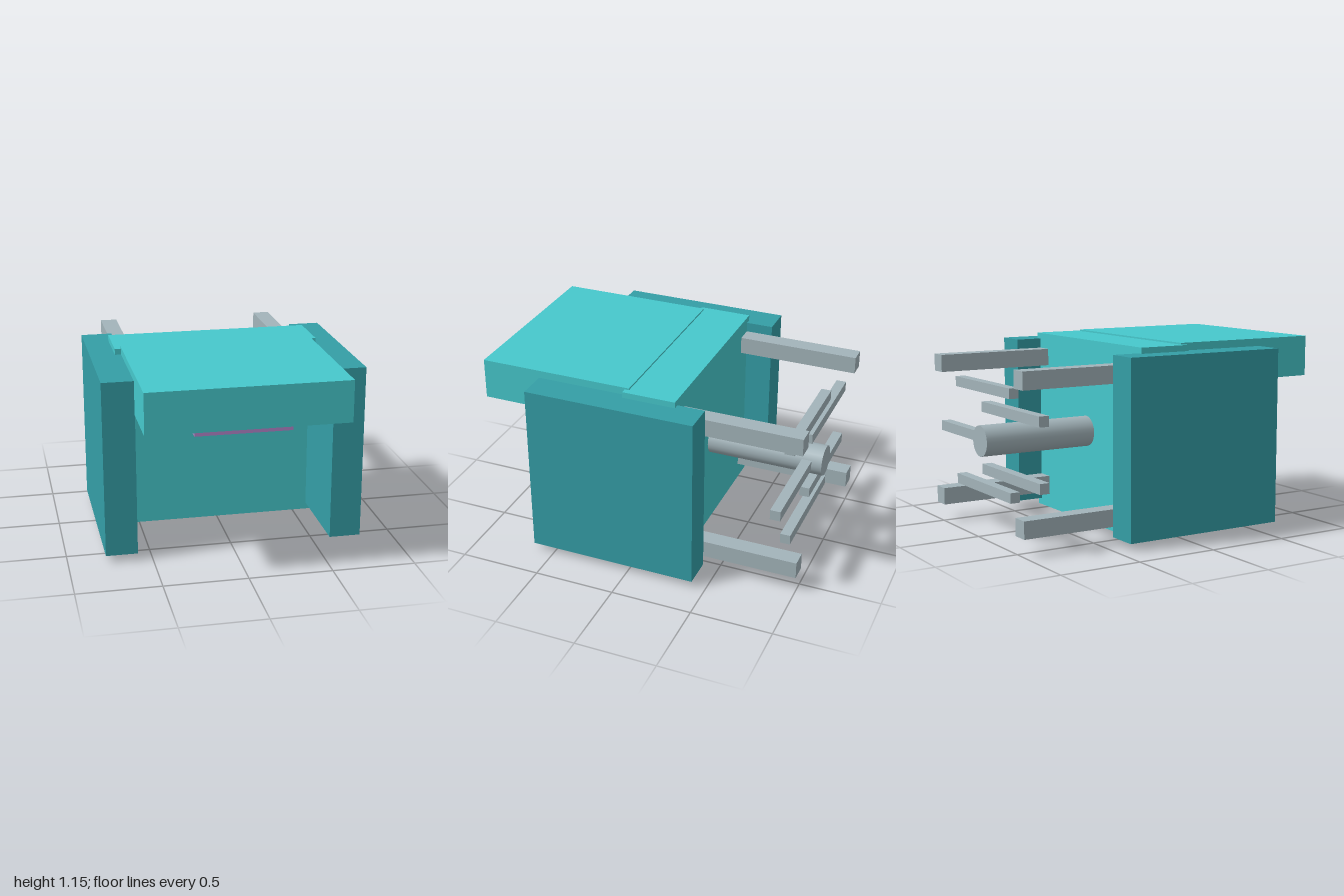
import * as THREE from 'three';

const mat = (name, color) => {
  const m = new THREE.MeshStandardMaterial({ color });
  m.name = name;
  return m;
};

export function createModel() {
  const model = new THREE.Group();
  model.name = 'model';
  const turquoise = mat('turquoise', 0x46c8cc);
  const teal = mat('darkTeal', 0x349ea6);
  const purple = mat('purple', 0xb586ca);
  const grey = mat('grey', 0xa3b4ba);

  // Box given by its lower and upper corners
  const box = (name, material, [x0, y0, z0], [x1, y1, z1]) => {
    const mesh = new THREE.Mesh(new THREE.BoxGeometry(x1 - x0, y1 - y0, z1 - z0), material);
    mesh.position.set((x0 + x1) / 2, (y0 + y1) / 2, (z0 + z1) / 2);
    mesh.name = name;
    model.add(mesh);
  };

  // Central body, overhanging hood and the strip beneath it
  box('body', turquoise, [-0.627, 0, -0.25], [0.627, 1.143, 0.077]);
  box('hood', turquoise, [-0.59, 0.905, 0.05], [0.59, 1.153, 1]);
  box('hoodStrip', purple, [-0.286, 0.83, 0.2], [0.286, 0.905, 0.85]);

  // Side walls, and the upper and lower rear posts on each side
  for (const [side, s] of [['left', 1], ['right', -1]]) {
    const mirrored = (name, material, x0, x1, y0, y1, z0, z1) =>
      box(name, material, [Math.min(s * x0, s * x1), y0, z0], [Math.max(s * x0, s * x1), y1, z1]);
    mirrored(side + 'Wall', teal, 0.588, 0.778, 0.042, 1.107, -0.418, 0.63);
    mirrored(side + 'UpperPost', grey, 0.483, 0.588, 0.941, 1.047, -1, -0.25);
    mirrored(side + 'LowerPost', grey, 0.483, 0.588, 0.104, 0.209, -1, -0.25);
  }

  // Rear shaft
  const hubY = 0.576;
  const shaft = new THREE.Mesh(new THREE.CylinderGeometry(0.094, 0.094, 0.73, 24), grey);
  shaft.rotation.x = Math.PI / 2;
  shaft.position.set(0, hubY, -0.615);
  shaft.name = 'shaft';
  model.add(shaft);

  // Five level bars spaced evenly around the shaft
  for (let i = 0; i < 5; i++) {
    const a = (i * Math.PI * 2) / 5;
    const x = 0.322 * Math.cos(a), y = hubY + 0.322 * Math.sin(a);
    box('bar' + (i + 1), grey, [x - 0.362, y - 0.031, -0.917], [x + 0.362, y + 0.031, -0.855]);
  }
  return model;
}
